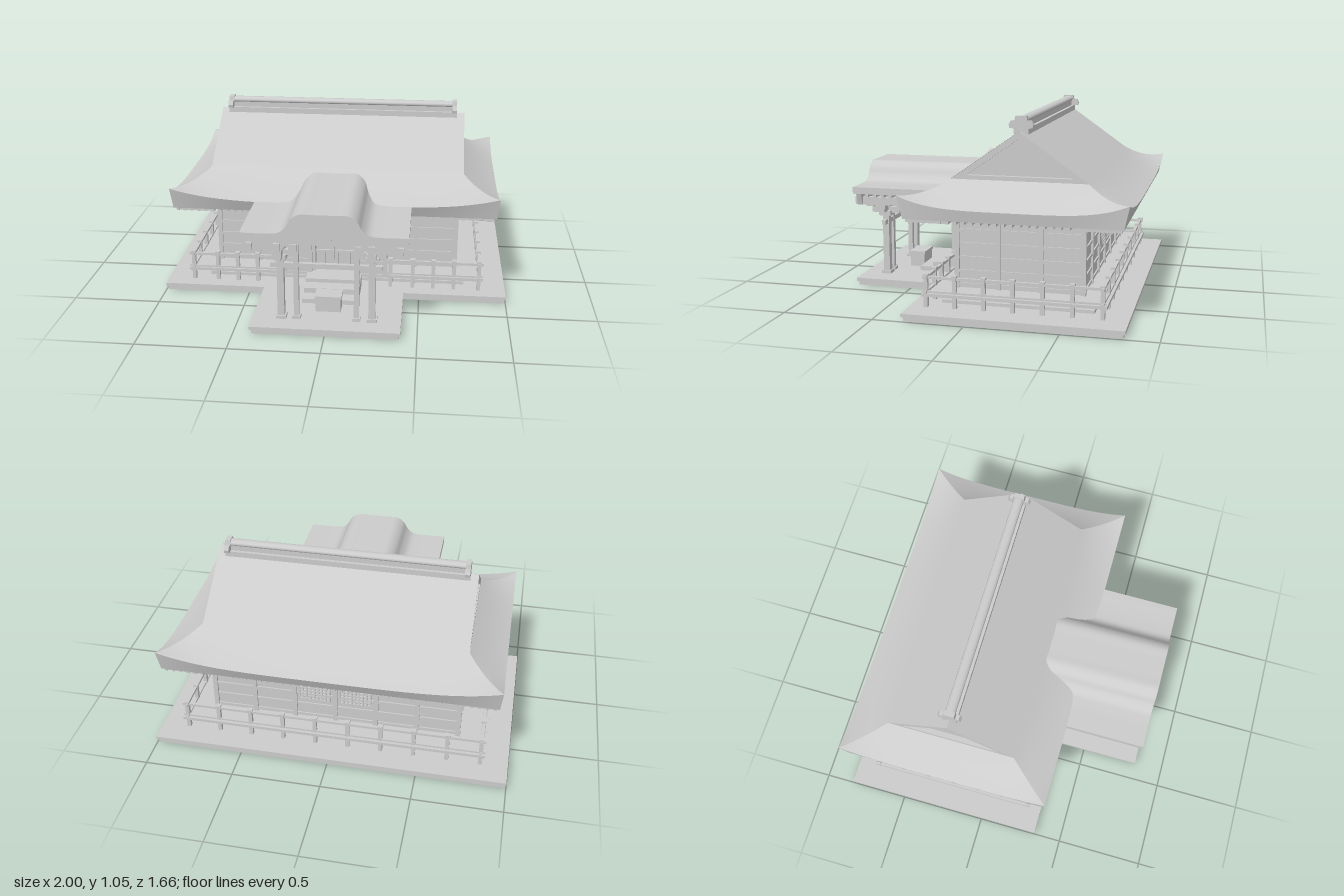
import * as THREE from 'three';
import { toCreasedNormals } from 'three/addons/utils/BufferGeometryUtils.js';

const grey = new THREE.MeshStandardMaterial({ color: 0xcccccc });
const thin = new THREE.MeshStandardMaterial({ color: 0xcccccc, side: THREE.DoubleSide });
const ZC = -0.228; // depth of the ridge line

function add(parent, name, geo, mat = grey) {
  const m = new THREE.Mesh(geo, mat);
  m.name = name;
  parent.add(m);
  return m;
}
// Box given by its min and max on each axis
function box(parent, name, x0, x1, y0, y1, z0, z1) {
  const m = add(parent, name, new THREE.BoxGeometry(x1 - x0, y1 - y0, z1 - z0));
  m.position.set((x0 + x1) / 2, (y0 + y1) / 2, (z0 + z1) / 2);
  return m;
}
function group(parent, name) {
  const g = new THREE.Group();
  g.name = name;
  parent.add(g);
  return g;
}
// Grid surface from f(u, v) -> [x, y, z], u and v in 0..1
function surface(f, nu, nv) {
  const pos = [], idx = [];
  for (let j = 0; j <= nv; j++) for (let i = 0; i <= nu; i++) pos.push(...f(i / nu, j / nv));
  for (let j = 0; j < nv; j++) for (let i = 0; i < nu; i++) {
    const a = j * (nu + 1) + i, b = a + nu + 1;
    idx.push(a, b, a + 1, a + 1, b, b + 1);
  }
  const g = new THREE.BufferGeometry();
  g.setAttribute('position', new THREE.Float32BufferAttribute(pos, 3));
  g.setIndex(idx);
  g.computeVertexNormals();
  return g;
}
function extrude(shape, depth, z) {
  const g = new THREE.ExtrudeGeometry(shape, { depth, bevelEnabled: false });
  g.translate(0, 0, z);
  return toCreasedNormals(g, 0.6);
}
const mirrored = (pts) => [...pts, ...pts.map(([x, y]) => [-x, y]).reverse()];
const toShape = (pts) => new THREE.Shape(pts.map(([x, y]) => new THREE.Vector2(x, y)));

// Main hip-and-gable roof
function buildRoof(root) {
  const g = group(root, 'mainRoof');
  const GX = 0.735, EX = 0.935, GZ = 0.37, EZ = 0.603;
  const hipY = (t, u) => 0.72 - 0.165 * t + 0.035 * t * t + 0.065 * t * t * u ** 4;
  for (const s of [1, -1]) {
    add(g, 'roofSlope', surface((a, v) => {
      const u = (a * 2 - 1) * s, d = v * EZ, t = Math.max(0, (d - GZ) / (EZ - GZ));
      const y = t > 0 ? hipY(t, u) : 0.98 - 0.26 * d / GZ;
      return [u * (GX + (EX - GX) * t), y, ZC + s * d];
    }, 40, 31), thin);
    add(g, 'roofHip', surface((a, t) => {
      const u = (1 - a * 2) * s;
      return [s * (GX + (EX - GX) * t), hipY(t, u), ZC + u * (GZ + (EZ - GZ) * t)];
    }, 32, 12), thin);
    add(g, 'eaveFascia', surface((a, v) => {
      const u = (a * 2 - 1) * s;
      return [u * (EX - 0.012 * v), hipY(1, u) * (1 - v) + 0.53 * v, ZC + s * (EZ - 0.028 * v)];
    }, 40, 1), thin);
    add(g, 'sideFascia', surface((a, v) => {
      const u = (1 - a * 2) * s;
      return [s * (EX - 0.012 * v), hipY(1, u) * (1 - v) + 0.53 * v, ZC + u * (EZ - 0.028 * v)];
    }, 32, 1), thin);

    // Gable boards around a recessed triangle
    const tri = toShape([[-GZ, 0.718], [GZ, 0.718], [0, 0.979]]);
    tri.holes.push(new THREE.Path([[-0.285, 0.742], [0, 0.942], [0.285, 0.742]].map((p) => new THREE.Vector2(...p))));
    const boards = add(g, 'gableBoards', extrude(tri, 0.035, -0.0175));
    boards.rotation.y = Math.PI / 2;
    boards.position.set(s * (GX - 0.018), 0, ZC);
    const wall = add(g, 'gableWall', new THREE.ShapeGeometry(toShape([[-0.33, 0.73], [0.33, 0.73], [0, 0.96]])), thin);
    wall.rotation.y = Math.PI / 2;
    wall.position.set(s * 0.705, 0, ZC);

    // Ridge end ornament
    const end = mirrored([[0.035, 0.975], [0.04, 0.99], [0.062, 0.992], [0.066, 1.01], [0.055, 1.03], [0.035, 1.03], [0.03, 1.055]]);
    const orn = add(g, 'ridgeOrnament', extrude(toShape(end), 0.028, -0.014));
    orn.rotation.y = Math.PI / 2;
    orn.position.set(s * 0.675, 0, ZC);

    // Rafters under the eaves
    for (let i = 0; i <= 44; i++) {
      const x = -0.9 + i * 1.8 / 44;
      box(g, 'rafter', x - 0.008, x + 0.008, 0.512, 0.532, ZC + (s > 0 ? 0.34 : -0.565), ZC + (s > 0 ? 0.565 : -0.34));
    }
    for (let i = 0; i <= 26; i++) {
      const z = ZC - 0.55 + i * 1.1 / 26;
      box(g, 'sideRafter', s > 0 ? 0.7 : -0.91, s > 0 ? 0.91 : -0.7, 0.512, 0.532, z - 0.008, z + 0.008);
    }
  }
  box(g, 'soffit', -0.922, 0.922, 0.53, 0.534, ZC - 0.574, ZC + 0.574);
  box(g, 'ridgeBase', -0.69, 0.69, 0.96, 0.992, ZC - 0.04, ZC + 0.04);
  box(g, 'ridgeBody', -0.68, 0.68, 0.99, 1.03, ZC - 0.022, ZC + 0.022);
  const cap = add(g, 'ridgeCap', new THREE.CylinderGeometry(0.03, 0.03, 1.36, 12));
  cap.rotation.z = Math.PI / 2;
  cap.scale.x = 0.6;
  cap.position.set(0, 1.033, ZC);
}

// Main hall walls with posts, battens and rear lattices
function buildHall(root) {
  const g = group(root, 'hall');
  const X = 0.705, Z0 = -0.572, Z1 = 0.117;
  box(g, 'hallWalls', -X, X, 0.045, 0.53, Z0, Z1);
  for (const z of [Z0, Z1]) {
    for (let i = -3; i <= 3; i++) box(g, 'wallPost', i * 0.235 - 0.013, i * 0.235 + 0.013, 0.045, 0.53, z - 0.013, z + 0.013);
    for (const y of [0.14, 0.215, 0.29, 0.365, 0.44, 0.5]) box(g, 'wallBatten', -X, X, y - 0.008, y + 0.008, z - 0.008, z + 0.008);
  }
  for (const x of [-X, X]) {
    for (let i = 0; i <= 3; i++) {
      const z = Z0 + (Z1 - Z0) * i / 3;
      box(g, 'sidePost', x - 0.013, x + 0.013, 0.045, 0.53, z - 0.013, z + 0.013);
    }
    for (const y of [0.14, 0.215, 0.29, 0.365, 0.44, 0.5]) box(g, 'sideBatten', x - 0.008, x + 0.008, y - 0.008, y + 0.008, Z0, Z1);
  }
  for (const c of [-0.118, 0.118]) for (let i = -4; i <= 4; i++) {
    box(g, 'latticeBar', c + i * 0.022 - 0.004, c + i * 0.022 + 0.004, 0.25, 0.42, Z0 - 0.012, Z0);
    box(g, 'latticeRail', c - 0.09, c + 0.09, 0.333 + i * 0.02, 0.339 + i * 0.02, Z0 - 0.012, Z0);
  }
}

// Entrance bay with doors, steps, rope and offering box
function buildEntrance(root) {
  const g = group(root, 'entrance');
  for (const s of [-1, 1]) {
    const b = (name, a, c, ...r) => box(g, name, Math.min(s * a, s * c), Math.max(s * a, s * c), ...r);
    b('baySide', 0.29, 0.305, 0.12, 0.53, 0.11, 0.265);
    b('bayFront', 0.15, 0.3, 0.12, 0.53, 0.25, 0.262);
    for (const x of [0.145, 0.3]) b('bayPost', x - 0.012, x + 0.012, 0.12, 0.53, 0.247, 0.272);
    for (const y of [0.2, 0.29, 0.38, 0.46]) b('bayBatten', 0.145, 0.3, y - 0.008, y + 0.008, 0.26, 0.269);
    b('door', 0.005, 0.115, 0.12, 0.38, 0.19, 0.2);
    for (let i = 0; i < 5; i++) b('doorBar', 0.012 + i * 0.023, 0.019 + i * 0.023, 0.14, 0.23, 0.2, 0.21);
    for (const y of [0.125, 0.23, 0.29, 0.34]) b('doorRail', 0.005, 0.115, y, y + 0.012, 0.2, 0.213);
    b('doorJamb', 0.115, 0.14, 0.12, 0.42, 0.185, 0.25);
    const bell = add(g, 'bell', new THREE.SphereGeometry(0.017, 12, 8));
    bell.position.set(s * 0.025, 0.315, 0.225);
  }
  box(g, 'lintel', -0.15, 0.15, 0.42, 0.53, 0.24, 0.268);
  const curve = new THREE.QuadraticBezierCurve3(new THREE.Vector3(-0.12, 0.41, 0.28), new THREE.Vector3(0, 0.345, 0.29), new THREE.Vector3(0.12, 0.41, 0.28));
  add(g, 'rope', new THREE.TubeGeometry(curve, 20, 0.01, 8));
  [[0.07, 0.52], [0.1, 0.44], [0.122, 0.36]].forEach(([y, z]) => box(g, 'step', -0.16, 0.16, 0.04, y, 0.26, z));
  box(g, 'offeringBox', -0.07, 0.07, 0.04, 0.128, 0.525, 0.615);
  box(g, 'offeringBoxRim', -0.075, 0.075, 0.122, 0.138, 0.52, 0.62);
}

// Raised veranda with railing
function buildVeranda(root) {
  const g = group(root, 'veranda');
  box(g, 'verandaFloor', -0.87, 0.87, 0.105, 0.122, -0.72, 0.27);
  box(g, 'plinth', -0.76, 0.76, 0.04, 0.062, -0.64, 0.19);
  const post = (x, z) => {
    box(g, 'railPost', x - 0.011, x + 0.011, 0.04, 0.215, z - 0.011, z + 0.011);
    box(g, 'railPostCap', x - 0.014, x + 0.014, 0.212, 0.223, z - 0.014, z + 0.014);
  };
  const bars = (...[x0, x1, z0, z1]) => {
    box(g, 'topRail', x0, x1, 0.198, 0.212, z0, z1);
    box(g, 'lowRail', x0, x1, 0.122, 0.132, z0, z1);
  };
  for (const s of [-1, 1]) {
    const x = s * 0.845;
    bars(x - 0.008, x + 0.008, -0.715, 0.27);
    for (let i = 0; i <= 6; i++) post(x, -0.695 + i * 0.1575);
    bars(s > 0 ? 0.31 : -0.87, s > 0 ? 0.87 : -0.31, 0.242, 0.258);
    for (const px of [0.7, 0.58, 0.46, 0.33]) post(s * px, 0.25);
  }
  bars(-0.87, 0.87, -0.703, -0.687);
  for (let i = 1; i < 9; i++) post(-0.845 + i * 1.69 / 9, -0.695);
}

// Porch with its humped roof, paired posts and brackets
function buildPorch(root) {
  const g = group(root, 'porch');
  const hump = (pts) => new THREE.CatmullRomCurve3(mirrored(pts).map(([x, y]) => new THREE.Vector3(x, y, 0)), false, 'centripetal')
    .getPoints(72).map((p) => [p.x, p.y]);
  const top = hump([[0.445, 0.594], [0.29, 0.594], [0.235, 0.602], [0.2, 0.632], [0.172, 0.678], [0.13, 0.705], [0.06, 0.706]]);
  const mid = hump([[0.445, 0.555], [0.27, 0.555], [0.215, 0.565], [0.18, 0.6], [0.155, 0.635], [0.12, 0.655], [0.06, 0.657]]);
  const low = hump([[0.425, 0.49], [0.25, 0.49], [0.205, 0.515], [0.17, 0.565], [0.142, 0.605], [0.11, 0.622], [0.06, 0.623]]);
  add(g, 'porchRoof', extrude(toShape([...top, ...mid.reverse()]), 0.705, 0.12));
  add(g, 'bargeBoard', extrude(toShape([...mid.reverse(), ...low.reverse()]), 0.03, 0.775));
  add(g, 'porchGablePanel', extrude(toShape(mirrored([[0.25, 0.5], [0.17, 0.6], [0.12, 0.645]])), 0.02, 0.7));
  for (const s of [-1, 1]) {
    for (const x of [0.165, 0.25]) {
      const w = x > 0.2 ? 0.019 : 0.014, c = s * x;
      box(g, 'porchPost', c - w, c + w, 0.045, 0.5, 0.695 - w, 0.695 + w);
      box(g, 'postFoot', c - w - 0.009, c + w + 0.009, 0.04, 0.062, 0.695 - w - 0.009, 0.695 + w + 0.009);
    }
    // Stacked bracket arms
    const c = s * 0.25;
    box(g, 'bracketBlock', c - 0.035, c + 0.035, 0.4, 0.43, 0.66, 0.73);
    box(g, 'bracketArmX', c - 0.075, c + 0.075, 0.425, 0.455, 0.68, 0.71);
    box(g, 'bracketArmZ', c - 0.015, c + 0.015, 0.415, 0.45, 0.61, 0.78);
    for (const d of [-1, 0, 1]) {
      box(g, 'bearingBlock', c + d * 0.07 - 0.024, c + d * 0.07 + 0.024, 0.452, 0.49, 0.67, 0.72);
      box(g, 'bearingBlock', c - 0.024, c + 0.024, 0.45, 0.49, 0.695 + d * 0.095 - 0.024, 0.695 + d * 0.095 + 0.024);
    }
    // Beams running back to the hall
    for (const x of [0.25, 0.4]) box(g, 'porchBeam', s * x - 0.018, s * x + 0.018, 0.49, 0.535, 0.25, 0.82);
    for (let i = 0; i < 10; i++) {
      const z = 0.36 + i * 0.048;
      box(g, 'porchRafter', Math.min(s * 0.24, s * 0.435), Math.max(s * 0.24, s * 0.435), 0.537, 0.557, z - 0.009, z + 0.009);
    }
  }
  box(g, 'tieBeam', -0.305, 0.305, 0.348, 0.375, 0.683, 0.707);
  box(g, 'crossBeam', -0.37, 0.37, 0.485, 0.525, 0.68, 0.71);
  box(g, 'beamStrut', -0.03, 0.03, 0.52, 0.6, 0.715, 0.735);
}

export function createModel() {
  const root = new THREE.Group();
  root.name = 'shrineHall';
  // T-shaped platform in two layers
  for (const [y0, y1, inset] of [[0, 0.024, 0.01], [0.024, 0.044, 0]]) {
    const i = inset;
    const s = toShape(mirrored([[1 - i, 0.83 - i], [1 - i, -0.34 + i], [0.41 - i, -0.34 + i], [0.41 - i, -0.83 + i]]));
    const m = add(root, 'platform', extrude(s, y1 - y0, 0));
    m.rotation.x = -Math.PI / 2;
    m.position.y = y0;
  }
  buildHall(root);
  buildEntrance(root);
  buildVeranda(root);
  buildPorch(root);
  buildRoof(root);
  return root;
}
